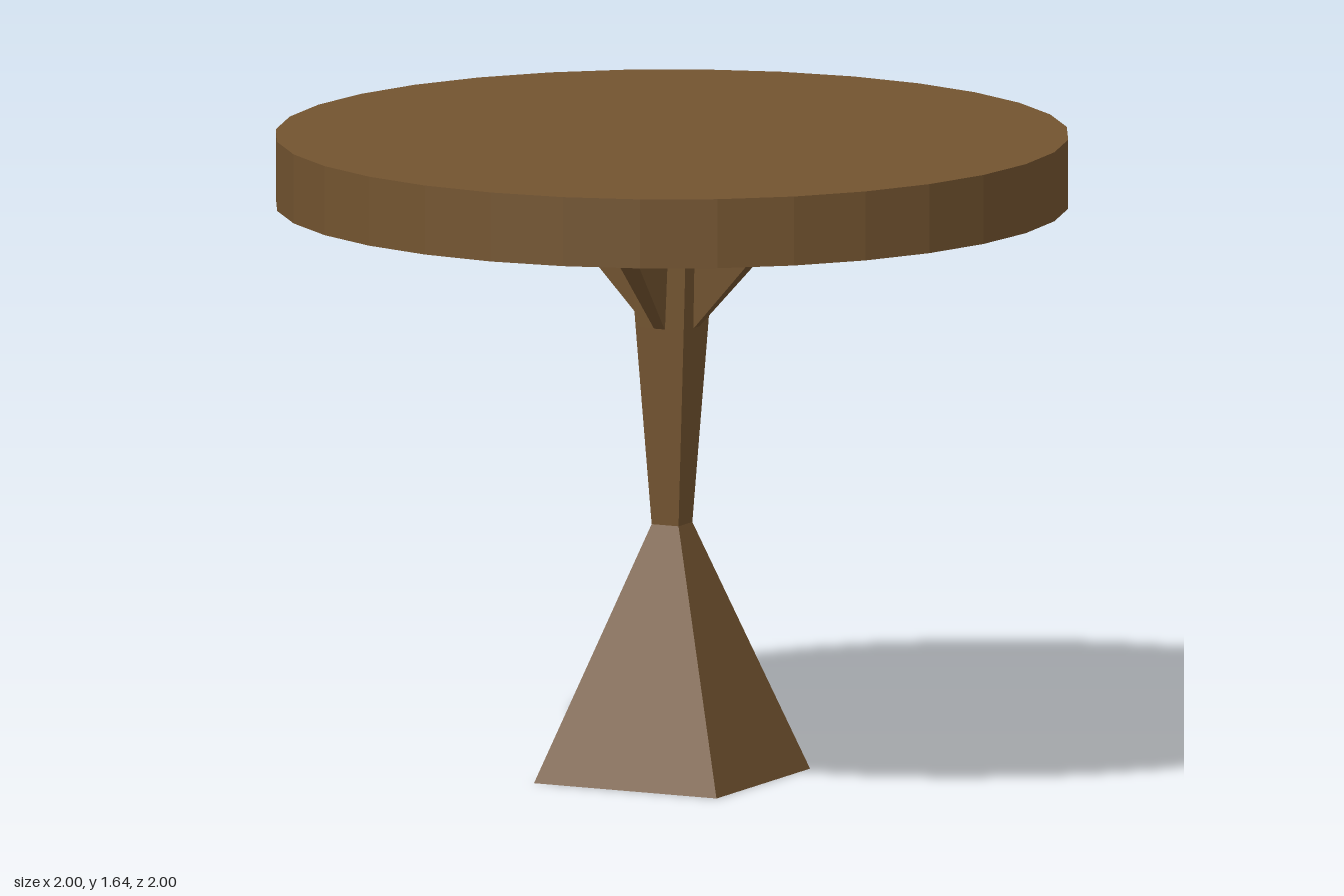
import * as THREE from 'three';

const wood = new THREE.MeshStandardMaterial({ color: 0x735430, flatShading: true });

function part(name, geometry) {
  const mesh = new THREE.Mesh(geometry, wood);
  mesh.name = name;
  return mesh;
}

// Triangular brace reaching out along +x, widening towards the top
function braceGeometry() {
  const [bottom, top] = [1.15, 1.46];
  const side = new THREE.Shape([
    new THREE.Vector2(0.06, bottom),
    new THREE.Vector2(0.07, bottom),
    new THREE.Vector2(0.35, top),
    new THREE.Vector2(0.06, top),
  ]);
  const geometry = new THREE.ExtrudeGeometry(side, { depth: 1, bevelEnabled: false });
  const pos = geometry.attributes.position;
  for (let i = 0; i < pos.count; i++) {
    const t = (pos.getY(i) - bottom) / (top - bottom);
    const halfWidth = THREE.MathUtils.lerp(0.015, 0.037, t);
    pos.setZ(i, (pos.getZ(i) - 0.5) * 2 * halfWidth);
  }
  geometry.computeVertexNormals();
  return geometry;
}

export function createModel() {
  const table = new THREE.Group();
  table.name = 'pedestalTable';

  // Round top
  const top = part('tableTop', new THREE.CylinderGeometry(1, 1, 0.176, 32));
  top.position.y = 1.548;
  table.add(top);

  // Square pedestal: [half width, height], flared foot and slim neck
  const profile = [[0, 0], [0.258, 0], [0.038, 0.645], [0.068, 1.15], [0.085, 1.46], [0, 1.46]]
    .map(([half, y]) => new THREE.Vector2(half * Math.SQRT2, y));
  table.add(part('pedestal', new THREE.LatheGeometry(profile, 4, Math.PI / 4)));

  // Four braces under the top
  const brace = braceGeometry();
  for (let i = 0; i < 4; i++) {
    const mesh = part('brace' + (i + 1), brace);
    mesh.rotation.y = i * Math.PI / 2;
    table.add(mesh);
  }
  return table;
}
